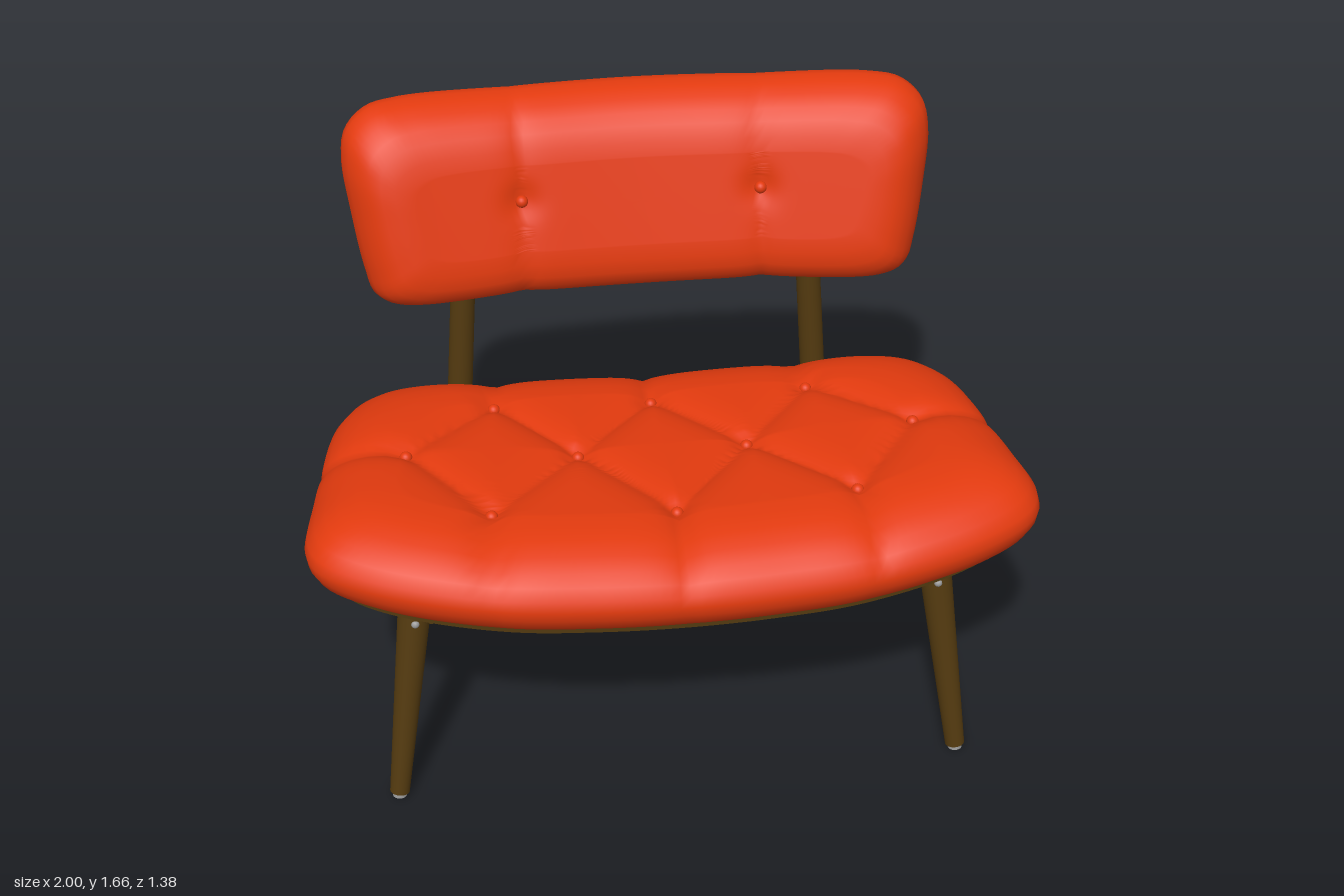
import * as THREE from 'three';
import { toCreasedNormals } from 'three/addons/utils/BufferGeometryUtils.js';

const COLUMNS = 200;
const V = (x, y, z) => new THREE.Vector3(x, y, z);

// Closed smooth outline from the +x half of its points, listed from x = 0 round to x = 0
function mirroredOutline(half) {
  const other = half.slice(1, -1).reverse().map(([x, y]) => [-x, y]);
  const pts = [...half, ...other].map(([x, y]) => V(x, y, 0));
  return new THREE.CatmullRomCurve3(pts, true, 'centripetal').getSpacedPoints(COLUMNS).slice(0, COLUMNS);
}

// Skin a list of rings, each with COLUMNS points
function loft(rings) {
  const pos = [], index = [];
  rings.forEach((ring) => ring.forEach((p) => pos.push(p.x, p.y, p.z)));
  for (let i = 0; i < rings.length - 1; i++) {
    for (let j = 0; j < COLUMNS; j++) {
      const k = (j + 1) % COLUMNS;
      const a = i * COLUMNS + j, b = a + COLUMNS, c = i * COLUMNS + k, d = c + COLUMNS;
      index.push(a, b, c, b, d, c);
    }
  }
  const g = new THREE.BufferGeometry();
  g.setAttribute('position', new THREE.Float32BufferAttribute(pos, 3));
  g.setIndex(index);
  g.computeVertexNormals();
  return g;
}

// Profile of [inset, height] pairs, closed to the centre at both ends
function padRings(outline, profile, size, centre, map) {
  const rings = [];
  const add = (inset, h, t) => rings.push(outline.map((p) => map(
    p.x * (1 - inset / size[0]) * t, centre + (p.y - centre) * (1 - inset / size[1]) * t, h)));
  const first = profile[0], last = profile[profile.length - 1];
  add(first[0], first[1], 0.001);
  profile.forEach(([inset, h]) => add(inset, h, 1));
  for (let i = 1; i <= 36; i++) add(last[0], last[1], Math.max(0.001, 1 - i / 36));
  return rings;
}

function segmentDistance(x, z, [ax, az, bx, bz]) {
  const dx = bx - ax, dz = bz - az;
  const t = THREE.MathUtils.clamp(((x - ax) * dx + (z - az) * dz) / (dx * dx + dz * dz), 0, 1);
  return Math.hypot(x - ax - t * dx, z - az - t * dz);
}

// Tufting layout on the seat
const halfSeams = [
  [0, -0.21, 0.24, 0.07], [0.24, 0.07, 0.46, -0.21], [0.46, -0.21, 0.72, 0.06],
  [0, 0.385, 0.24, 0.07], [0.24, 0.07, 0.5, 0.365], [0.5, 0.365, 0.72, 0.06],
  [0, 0.385, 0, 0.8], [0.5, 0.365, 0.53, 0.8], [0.72, 0.06, 1.1, 0.035],
  [0, -0.21, 0, -0.6], [0.46, -0.21, 0.44, -0.6],
];
const seatButtons = [[0, -0.21], [0, 0.385]];
for (const s of [1, -1]) {
  for (const [x, z] of [[0.46, -0.21], [0.24, 0.07], [0.72, 0.06], [0.5, 0.365]]) seatButtons.push([s * x, z]);
}

const seatBase = (x, z) => 0.605 + 0.07 * z + 0.08 * x * x;

function seatPoint(x, z, h) {
  const ax = Math.abs(x);
  const d = Math.min(...halfSeams.map((s) => segmentDistance(ax, z, s)));
  const b = Math.min(...seatButtons.map(([bx, bz]) => Math.hypot(x - bx, z - bz)));
  const groove = Math.exp(-d / 0.05);
  const dip = 0.033 * groove + 0.015 * Math.exp(-((b / 0.04) ** 2));
  const pinch = 1 - 0.012 * groove * h * (1 - h) * 4;
  return V(x * pinch, seatBase(x, z) + 0.25 * h - dip * h * h, z * pinch);
}

// Backrest: leaning back and wrapped gently round the sitter
const backMap = (u, v, w) => V(u - 0.28 * u * w, 1.375 + v, -0.638 - 0.2875 * v + 0.14 * u * u + w);
function backPoint(u, v, w) {
  const d = Math.abs(Math.abs(u) - 0.365);
  const f = Math.max(0, w / 0.24);
  const button = Math.hypot(d, v - 0.015);
  const groove = Math.exp(-d / 0.04);
  const dip = (0.014 * groove + 0.015 * Math.exp(-((button / 0.05) ** 2))) * f * f;
  return backMap(u, v * (1 - 0.025 * groove * f), w - dip);
}

export function createModel() {
  const model = new THREE.Group();
  const mat = (name, color) => new THREE.MeshStandardMaterial({ name, color });
  const fabric = mat('orange red upholstery', 0xe23a0e);
  const wood = mat('dark walnut', 0x52390f);
  const metal = mat('grey metal', 0x9a9a9a);

  function add(name, geometry, material, position) {
    const mesh = new THREE.Mesh(geometry, material);
    mesh.name = name;
    if (position) mesh.position.copy(position);
    model.add(mesh);
    return mesh;
  }
  // Round tapered bar between two points
  function bar(name, a, b, ra, rb, material = wood) {
    const dir = b.clone().sub(a);
    const mesh = add(name, new THREE.CylinderGeometry(rb, ra, dir.length(), 28), material,
      a.clone().add(b).multiplyScalar(0.5));
    mesh.quaternion.setFromUnitVectors(V(0, 1, 0), dir.normalize());
    return mesh;
  }
  // Rectangular bar between two points
  function beam(name, a, b, height, thick) {
    const mesh = add(name, new THREE.BoxGeometry(thick, height, a.distanceTo(b)), wood,
      a.clone().add(b).multiplyScalar(0.5));
    mesh.lookAt(b);
  }
  const screw = (x, y, z) => add('screw', new THREE.SphereGeometry(0.012, 12, 8), metal, V(x, y, z));
  const button = (name, p) => add(name, new THREE.SphereGeometry(0.018, 18, 12), fabric, p);

  // Seat cushion and its curved board
  const seatOutline = mirroredOutline([
    [0, -0.475], [0.4, -0.468], [0.7, -0.44], [0.83, -0.375], [0.91, -0.25], [0.96, -0.03], [0.985, 0.2],
    [1, 0.41], [0.965, 0.495], [0.83, 0.58], [0.52, 0.663], [0.25, 0.682], [0, 0.687],
  ]);
  const seatProfile = [
    [0.085, 0], [0.05, 0.04], [0.02, 0.15], [0.004, 0.28], [0, 0.4], [0.008, 0.52], [0.03, 0.65],
    [0.06, 0.76], [0.1, 0.86], [0.15, 0.94], [0.2, 0.98], [0.25, 1],
  ];
  add('seatCushion', loft(padRings(seatOutline, seatProfile, [1, 0.58], 0.1, seatPoint)), fabric);
  const boardPoint = (x, z, h) => V(x, seatBase(x, z) + h, z);
  const seatBoard = loft(padRings(seatOutline, [[0.1, -0.03], [0.075, -0.022], [0.075, 0.01]],
    [1, 0.58], 0.1, boardPoint));
  add('seatBoard', toCreasedNormals(seatBoard, 0.5), wood);
  for (const [x, z] of seatButtons) button('seatButton', seatPoint(x, z, 1).add(V(0, 0.006, 0)));

  // Plate below the seat
  const plate = add('underPlate', new THREE.BoxGeometry(0.66, 0.009, 0.4), metal, V(0, 0.574, 0));
  plate.rotation.x = -Math.atan(0.07);

  // Backrest cushion and its rear panel
  const backOutline = mirroredOutline([
    [0, 0.277], [0.36, 0.277], [0.7, 0.286], [0.79, 0.272], [0.85, 0.22], [0.866, 0.14], [0.852, 0],
    [0.825, -0.16], [0.8, -0.235], [0.73, -0.272], [0.36, -0.285], [0, -0.29],
  ]);
  const backProfile = [
    [0.08, 0.012], [0.05, 0.018], [0.022, 0.04], [0.005, 0.075], [0, 0.11], [0.008, 0.145],
    [0.025, 0.18], [0.05, 0.208], [0.08, 0.226], [0.12, 0.237], [0.16, 0.24],
  ];
  add('backCushion', loft(padRings(backOutline, backProfile, [0.86, 0.285], 0, backPoint)), fabric);
  const backPanel = loft(padRings(backOutline, [[0.08, 0], [0.072, 0.006], [0.072, 0.025]],
    [0.86, 0.285], 0, backMap));
  add('backPanel', toCreasedNormals(backPanel, 0.5), wood);

  for (const s of [1, -1]) {
    button('backButton', backPoint(s * 0.365, 0.015, 0.24).add(V(0, 0, 0.006)));

    // Legs with small metal feet
    bar('frontLeg', V(s * 0.805, 0.015, 0.495), V(s * 0.717, 0.655, 0.398), 0.028, 0.047);
    bar('frontFoot', V(s * 0.806, 0, 0.497), V(s * 0.805, 0.016, 0.495), 0.02, 0.02, metal);
    bar('backLegLower', V(s * 0.595, 0.015, -0.545), V(s * 0.557, 0.55, -0.543), 0.027, 0.038);
    bar('backLegUpper', V(s * 0.557, 0.55, -0.543), V(s * 0.505, 1.25, -0.553), 0.038, 0.036);
    const cap = add('backLegTop', new THREE.SphereGeometry(0.036, 24, 14), wood, V(s * 0.505, 1.25, -0.553));
    cap.scale.y = 0.5;
    bar('backFoot', V(s * 0.596, 0, -0.545), V(s * 0.595, 0.016, -0.545), 0.02, 0.02, metal);

    // Side rail
    beam('sideRail', V(s * 0.705, 0.594, 0.4), V(s * 0.555, 0.51, -0.53), 0.097, 0.04);

    // Screws on rails and legs
    for (const dy of [0.025, -0.025]) {
      screw(s * 0.707, 0.585 + dy, 0.28);
      screw(s * 0.607, 0.535 + dy, -0.342);
      screw(s * 0.725, 0.605 + dy, 0.45);
      screw(s * 0.56, 0.518 + dy, -0.58);
      screw(s * 0.51, 1.178 + dy, -0.588);
    }
  }

  // Cross rails
  beam('frontRail', V(-0.7, 0.576, 0.375), V(0.7, 0.576, 0.375), 0.09, 0.04);
  beam('rearRail', V(-0.555, 0.502, -0.515), V(0.555, 0.502, -0.515), 0.07, 0.04);

  return model;
}
